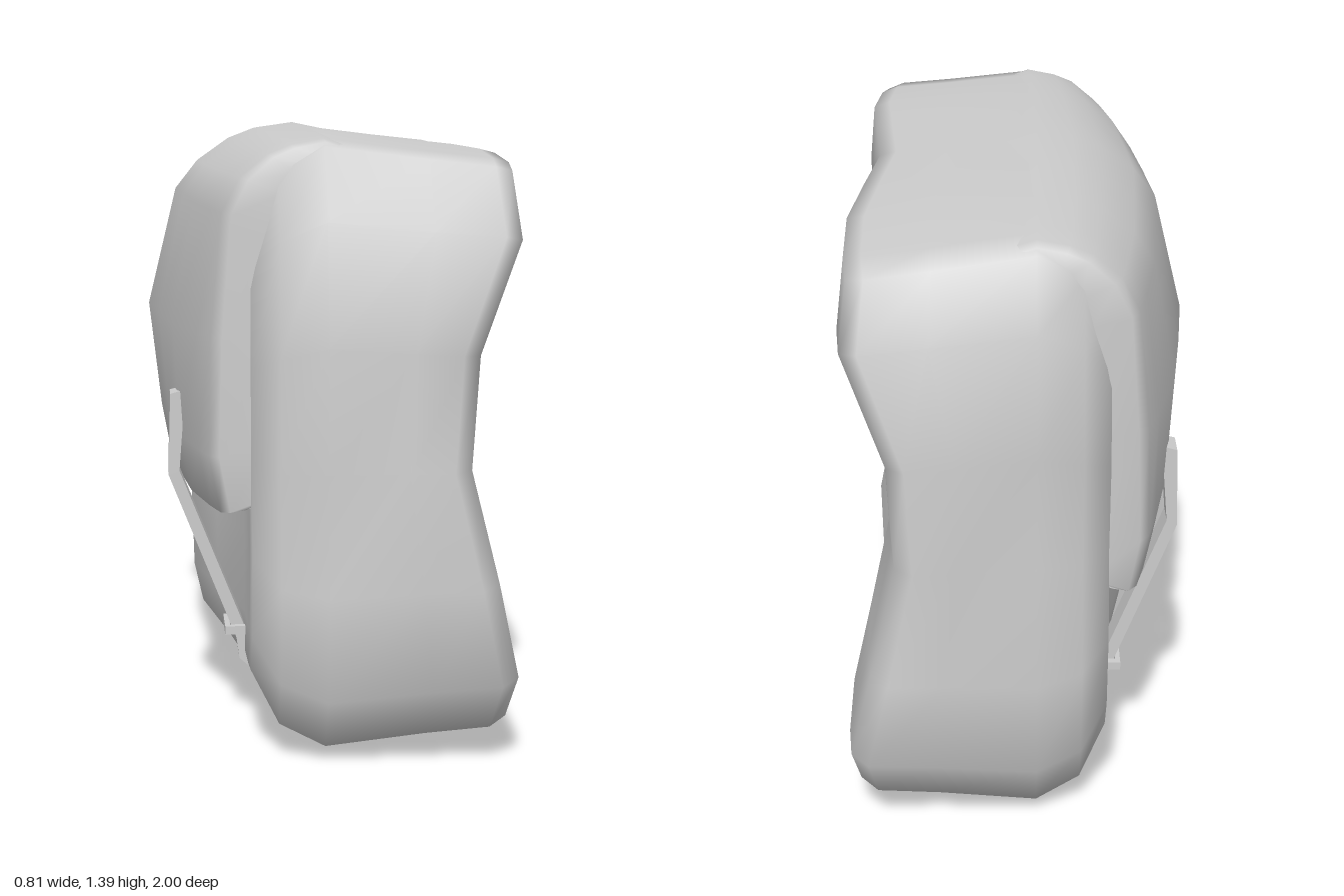
import * as THREE from 'three';
import { mergeVertices } from 'three/addons/utils/BufferGeometryUtils.js';

const grey = new THREE.MeshStandardMaterial({ color: 0xcccccc });
grey.name = 'grey canvas';

// value of an evenly spaced control list at t in 0..1
function at(list, t) {
  const s = Math.min(Math.max(t, 0), 1) * (list.length - 1);
  const i = Math.min(Math.floor(s), list.length - 2);
  return THREE.MathUtils.lerp(list[i], list[i + 1], s - i);
}

function part(name, geometry) {
  const mesh = new THREE.Mesh(geometry, grey);
  mesh.name = name;
  return mesh;
}

// Soft padded body: a box whose grid is bent by depth (u), height (v) and width (w)
function bodyGeometry() {
  const depthX = [-0.19, -0.13, -0.03, 0.2, 0.35, 0.39];
  const topY = [1.24, 1.33, 1.387, 1.36, 1.345, 1.335];
  const bottomY = [0.16, 0.05, 0.005, 0.035, 0.05, 0.065];
  const widthByDepth = [0.88, 0.935, 0.965, 0.985, 1.0, 0.965];
  const backFollow = [0, 0, 0, 0.5, 1, 1];
  const bulgeFollow = [1, 0.5, 0, 0, 0, 0];
  const heights = [0, 0.09, 0.27, 0.47, 0.68, 0.88, 1];
  const halfWidth = [0.89, 0.965, 1.0, 0.95, 0.985, 0.935, 0.88];
  const backWave = [0, 0.015, -0.035, -0.09, -0.08, 0.015, 0];
  const frontBulge = [0.75, 0.95, 1, 0.75, 0.6, 0.4, 0.2];
  const across = [0, 0.3, 0.6, 0.87, 1];
  const g = new THREE.BoxGeometry(2, 2, 2, 5, 6, 8);
  g.deleteAttribute('normal');
  g.deleteAttribute('uv');
  const p = g.attributes.position;
  for (let i = 0; i < p.count; i++) {
    const u = (p.getX(i) + 1) / 2, v = (p.getY(i) + 1) / 2, w = p.getZ(i), a = Math.abs(w);
    const sag = at([0, 0, 0.005, 0.02, 0.035], a);
    const dent = at([-0.045, -0.022, 0, -0.008, -0.02], a);
    const x = at(depthX, u) + at(backFollow, u) * (at(backWave, v) + dent)
      - 0.11 * at(bulgeFollow, u) * at(frontBulge, v) * at([1, 0.5, 0, 0, 0], a);
    const y = THREE.MathUtils.lerp(at(bottomY, u) + sag, at(topY, u) - sag, at(heights, v));
    const z = Math.sign(w) * at(across, a) * at(halfWidth, v) * at(widthByDepth, u);
    p.setXYZ(i, x, y, z);
  }
  const smooth = mergeVertices(g, 1e-5);
  smooth.computeVertexNormals();
  return smooth;
}

// Flap: a profile lofted across the width, bulging at the middle, tucked in at both ends
function flapGeometry() {
  const middle = [[0.08, 1.37], [-0.04, 1.395], [-0.13, 1.382], [-0.2, 1.355], [-0.28, 1.3], [-0.335, 1.23],
    [-0.405, 0.94], [-0.375, 0.68], [-0.35, 0.545], [-0.25, 0.545], [-0.17, 0.6]];
  const end = [[0.08, 1.335], [-0.03, 1.368], [-0.1, 1.355], [-0.15, 1.335], [-0.21, 1.285], [-0.25, 1.21],
    [-0.275, 0.94], [-0.28, 0.68], [-0.255, 0.555], [-0.215, 0.56], [-0.17, 0.645]];
  const half = [[0, 0, 0], [0.25, 0.18, 0], [0.5, 0.4, 0], [0.7, 0.78, 0], [0.79, 1, 0], [0.825, 1.08, 0.12], [0.835, 1, 1]];
  const rows = [...half.slice(1).reverse().map(([z, m, t]) => [-z, m, t]), ...half];
  const n = middle.length, pos = [], index = [];
  rows.forEach(([z, mix, tuck], r) => {
    for (let c = 0; c < n; c++) {
      const x = THREE.MathUtils.lerp(middle[c][0], end[c][0], mix);
      const y = THREE.MathUtils.lerp(middle[c][1], end[c][1], mix);
      pos.push(x * (1 - 0.42 * tuck), 0.95 + (y - 0.95) * (1 - 0.1 * tuck), z);
      if (r && c) {
        const d = r * n + c, b = d - n;
        index.push(b - 1, b, d - 1, b, d, d - 1);
      }
    }
  });
  const g = new THREE.BufferGeometry();
  g.setAttribute('position', new THREE.Float32BufferAttribute(pos, 3));
  g.setIndex(index);
  g.computeVertexNormals();
  return g;
}

// Strap: bent ribbon from the flap down to the lower front
function strapGeometry() {
  const outline = [[-0.325, 0.79], [-0.36, 0.78], [-0.365, 0.59], [-0.21, 0.2], [-0.203, 0.15],
    [-0.18, 0.13], [-0.18, 0.2], [-0.34, 0.6]];
  const shape = new THREE.Shape(outline.map(([x, y]) => new THREE.Vector2(x, y)));
  const g = new THREE.ExtrudeGeometry(shape, { depth: 0.075, bevelEnabled: false });
  return g.translate(0, 0, -0.0375);
}

// Buckle: flat rectangular loop around the strap
function buckleGeometry() {
  const rect = (Kind, w, h) => new Kind([[-w, -h], [w, -h], [w, h], [-w, h]].map(([x, y]) => new THREE.Vector2(x, y)));
  const shape = rect(THREE.Shape, 0.03, 0.06);
  shape.holes.push(rect(THREE.Path, 0.018, 0.042));
  const g = new THREE.ExtrudeGeometry(shape, { depth: 0.02, bevelEnabled: false });
  return g.rotateX(-Math.PI / 2).translate(-0.207, 0.213, 0);
}

export function createModel() {
  const bag = new THREE.Group();
  bag.name = 'satchel';
  bag.add(part('body', bodyGeometry()), part('flap', flapGeometry()));
  for (const z of [-0.51, 0.49]) {
    const fastening = new THREE.Group();
    fastening.name = z < 0 ? 'rearFastening' : 'frontFastening';
    fastening.add(part('strap', strapGeometry()), part('buckle', buckleGeometry()));
    fastening.position.z = z;
    bag.add(fastening);
  }
  return bag;
}
